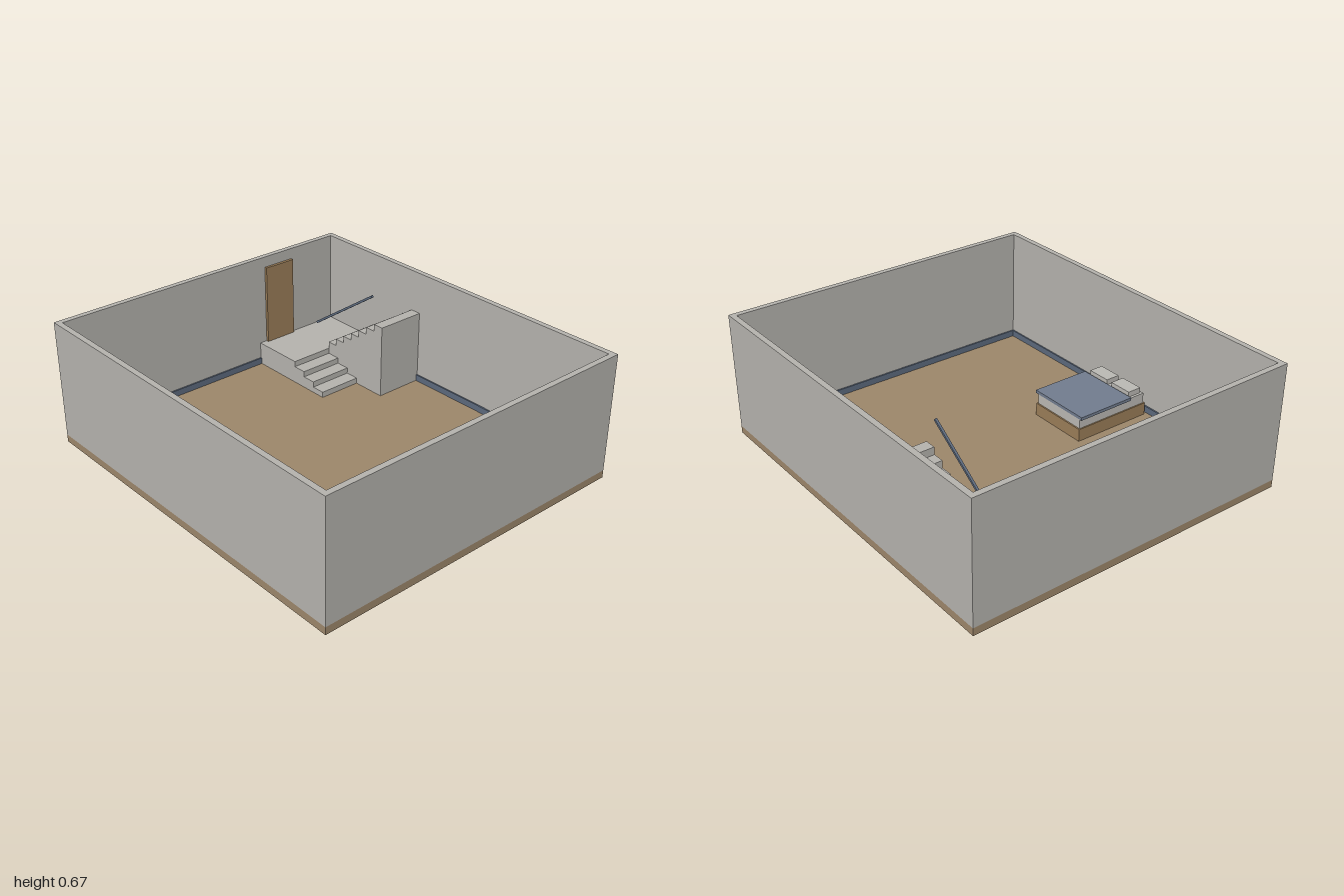
import * as THREE from 'three';

const mat = (name, color) => {
  const m = new THREE.MeshStandardMaterial({ color });
  m.name = name;
  return m;
};

export function createModel() {
  const plaster = mat('grey plaster', 0xb4b2ad);
  const wood = mat('brown wood', 0x9c866a);
  const doorWood = mat('door wood', 0x9a7d58);
  const blue = mat('slate blue', 0x717c8e);
  const trim = mat('dark slate trim', 0x5c697c);
  const linen = mat('pale linen', 0xbab8b3);

  const room = new THREE.Group();
  room.name = 'room';

  // Box given by its lower and upper limits on each axis
  const box = (parent, name, m, x0, x1, y0, y1, z0, z1) => {
    const mesh = new THREE.Mesh(new THREE.BoxGeometry(x1 - x0, y1 - y0, z1 - z0), m);
    mesh.position.set((x0 + x1) / 2, (y0 + y1) / 2, (z0 + z1) / 2);
    mesh.name = name;
    parent.add(mesh);
    return mesh;
  };
  const group = (name) => {
    const g = new THREE.Group();
    g.name = name;
    room.add(g);
    return g;
  };
  // Rectangular frame extruded upward, used for walls and skirting
  const ring = (name, m, x, z, t, y0, y1) => {
    const rect = (P, a, b) => {
      const p = new P();
      p.moveTo(-a, -b).lineTo(a, -b).lineTo(a, b).lineTo(-a, b).closePath();
      return p;
    };
    const s = rect(THREE.Shape, x, z);
    s.holes.push(rect(THREE.Path, x - t, z - t));
    const geo = new THREE.ExtrudeGeometry(s, { depth: y1 - y0, bevelEnabled: false });
    geo.rotateX(-Math.PI / 2);
    const mesh = new THREE.Mesh(geo, m);
    mesh.position.y = y0;
    mesh.name = name;
    room.add(mesh);
  };

  // Shell
  const F = 0.04;
  box(room, 'floor', wood, -1, 1, 0, F, -0.89, 0.89);
  ring('walls', plaster, 1, 0.89, 0.03, F, 0.67);
  ring('skirting', trim, 0.97, 0.86, 0.008, F, 0.075);

  // Staircase: solid stepped side profiles extruded across the flight
  const stairs = group('staircase');
  const flight = (name, points, z0, z1) => {
    const shape = new THREE.Shape(points.map(([x, y]) => new THREE.Vector2(x, y)));
    const geo = new THREE.ExtrudeGeometry(shape, { depth: z1 - z0, bevelEnabled: false });
    const mesh = new THREE.Mesh(geo, plaster);
    mesh.position.z = z0;
    mesh.name = name;
    stairs.add(mesh);
  };
  const L = 0.166;
  box(stairs, 'landing', plaster, -0.97, -0.67, F, L, -0.865, -0.34);

  const lower = [[-0.67, F], [-0.44, F]];
  for (let i = 0; i < 3; i++) {
    const y = F + (i + 1) * (L - F) / 4;
    lower.push([-0.44 - i * 0.0767, y], [-0.44 - (i + 1) * 0.0767, y]);
  }
  flight('lowerFlight', lower, -0.585, -0.34);

  const upper = [[-0.25, F], [-0.67, F]].reverse();
  for (let i = 6; i >= 0; i--) {
    const y = L + (i + 1) * 0.0395;
    upper.push([-0.67 + (i + 1) * 0.06, y], [-0.67 + i * 0.06, y]);
  }
  flight('upperFlight', upper, -0.865, -0.585);

  // Sloping handrail
  const rail = box(room, 'handrail', trim, -0.267, 0.267, -0.006, 0.006, -0.006, 0.006);
  rail.position.set(-0.55, 0.443, -0.589);
  rail.rotation.z = Math.atan2(0.305, 0.44);

  // Door on the landing
  box(room, 'door', doorWood, -0.97, -0.955, L, 0.61, -0.57, -0.385);

  // Bed
  const bed = group('bed');
  box(bed, 'bedFrame', doorWood, -0.17, 0.17, F, 0.108, 0.385, 0.835);
  box(bed, 'mattress', linen, -0.163, 0.163, 0.108, 0.165, 0.393, 0.827);
  box(bed, 'blanket', blue, -0.18, 0.18, 0.163, 0.18, 0.39, 0.725);
  for (const s of [-1, 1]) {
    const p = box(bed, 'pillow', linen, -0.066, 0.066, 0.165, 0.195, 0.735, 0.815);
    p.position.x = s * 0.083;
  }
  return room;
}
